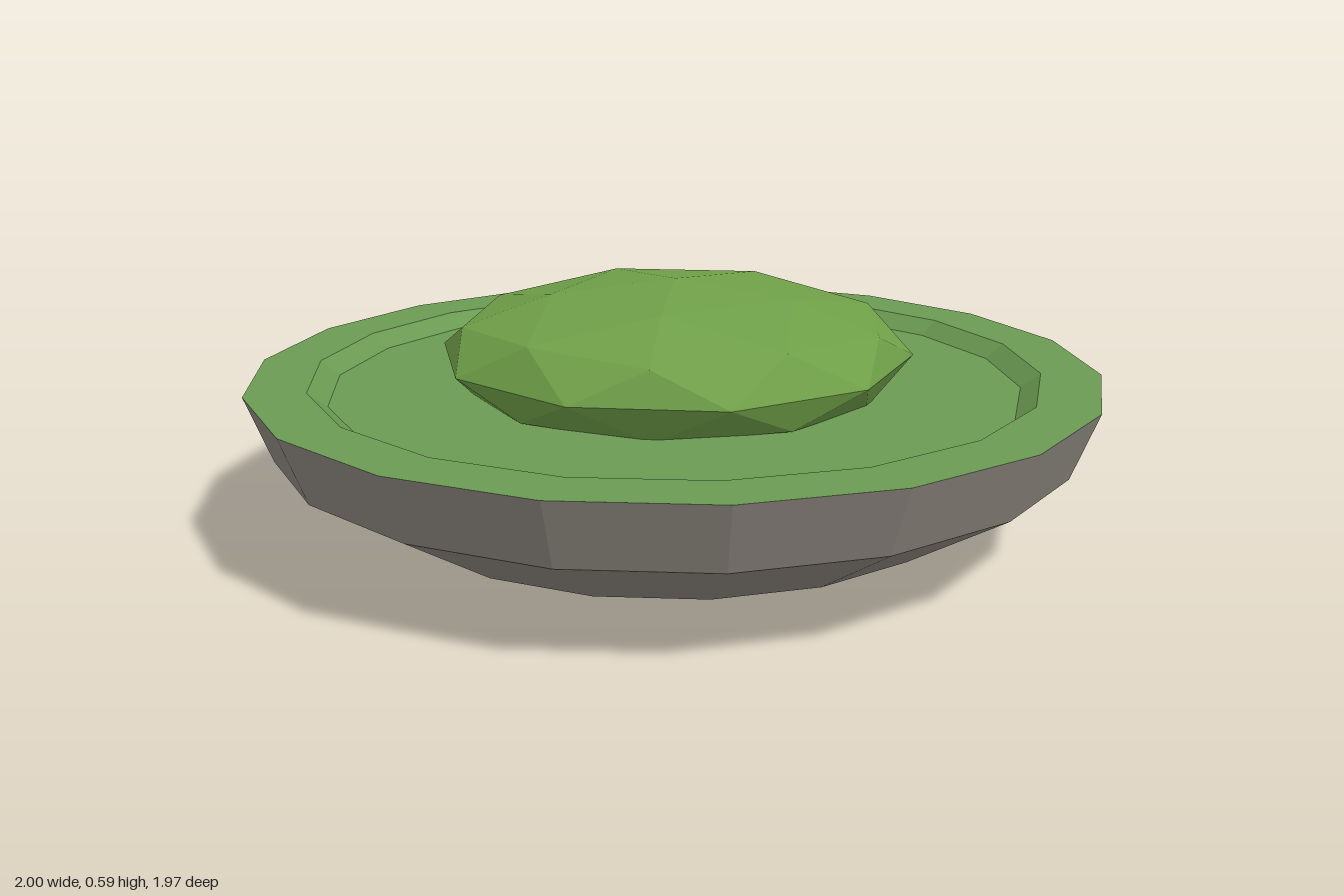
import * as THREE from 'three';

const SIDES = 18;

// Faceted mesh with a plain colour
function part(name, geometry, color) {
  const material = new THREE.MeshStandardMaterial({ color, flatShading: true });
  const mesh = new THREE.Mesh(geometry, material);
  mesh.name = name;
  return mesh;
}

// Revolve a [radius, height] profile, with one corner on the x axis
function revolve(profile) {
  const points = profile.map(([r, y]) => new THREE.Vector2(r, y));
  return new THREE.LatheGeometry(points, SIDES, Math.PI / 2);
}

export function createModel() {
  const model = new THREE.Group();
  model.name = 'planter';

  // Stone bowl: flat base, two sloping bands and a steep upper band
  model.add(part('bowl', revolve([
    [0, 0], [0.5, 0], [0.69, 0.065], [0.94, 0.22], [1, 0.375],
  ]), 0x8c867e));

  // Grass: flat rim, short slope and slightly sunken floor
  model.add(part('grass', revolve([
    [1, 0.375], [0.86, 0.375], [0.815, 0.34], [0, 0.34],
  ]), 0x6b9a52));

  // Bush: squashed icosphere standing on one of its corners
  const bush = new THREE.IcosahedronGeometry(1, 1);
  bush.rotateZ(-Math.atan(2 / (1 + Math.sqrt(5))));
  bush.scale(0.56, 0.17, 0.56);
  bush.translate(0, 0.42, 0);
  model.add(part('bush', bush, 0x6f9f48));

  return model;
}
